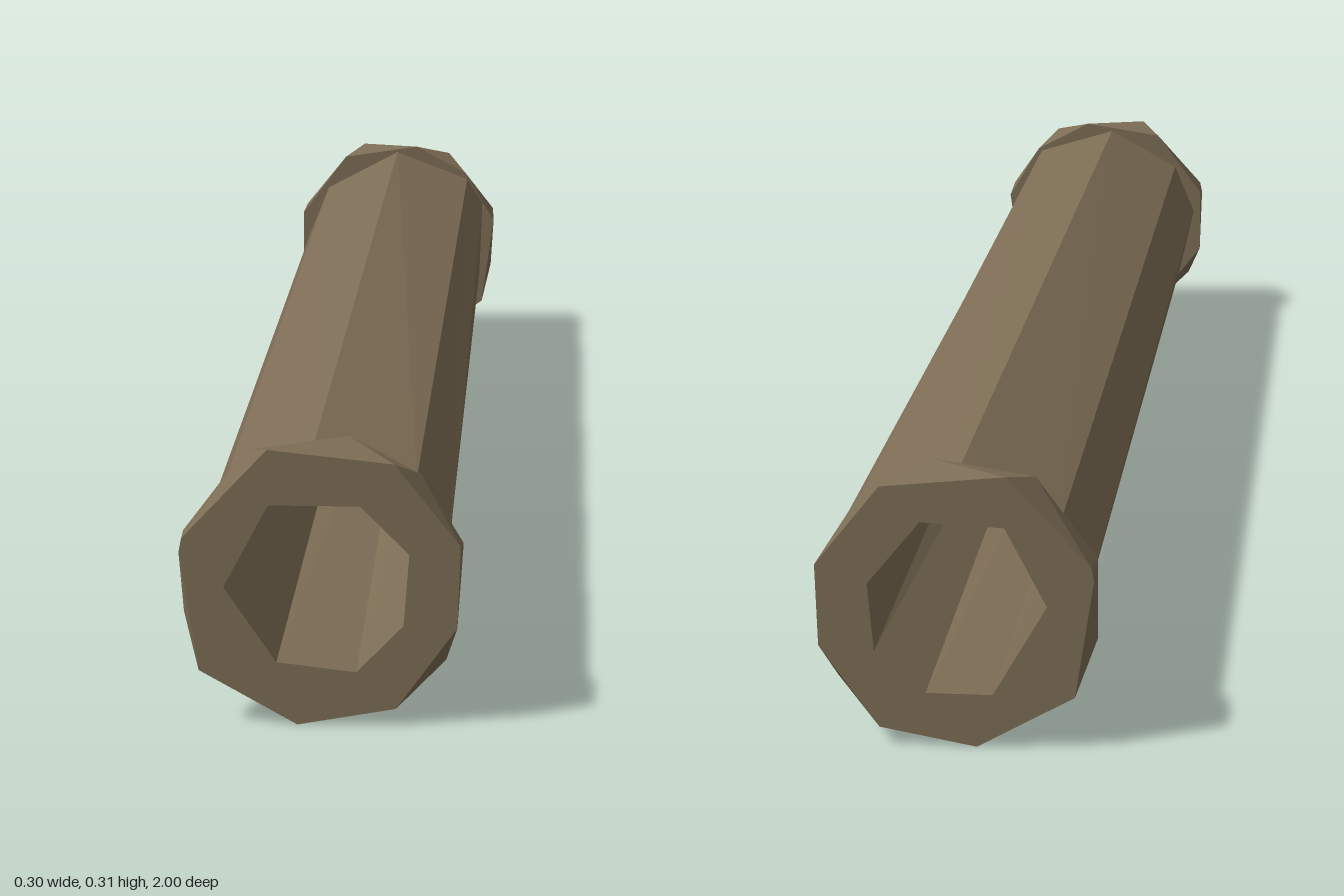
import * as THREE from 'three';

// Cross-sections as [x, y], clockwise seen from the front
const rim = [[-.15, .19], [-.147, .205], [-.056, .302], [.078, .288], [.148, .2], [.145, .11], [.08, .02], [-.025, .001], [-.13, .06]];
const collarInner = [[-.15, .2], [-.083, .289], [.028, .306], [.105, .265], [.15, .19], [.132, .06], [.052, .004], [-.08, .02], [-.15, .11]];
const tubeFront = [[-.14, .17], [-.11, .24], [-.01, .295], [.1, .262], [.135, .187], [.125, .095], [.05, .027], [-.05, .024], [-.12, .08]];
const tubeBack = [[-.14, .165], [-.11, .24], [-.002, .297], [.108, .255], [.132, .218], [.128, .105], [.055, .025], [-.045, .022], [-.12, .085]];
const holeFront = [[-.103, .152], [-.055, .242], [.042, .242], [.094, .19], [.088, .112], [.038, .06], [-.047, .07]];
const holeBack = [[-.1, .16], [-.055, .246], [.035, .25], [.092, .18], [.085, .105], [.03, .06], [-.042, .06]];

// Side surface between two cross-sections; inward turns the faces around
function strip(p, zp, q, zq, inward = false) {
  const n = p.length;
  const pos = [];
  const tri = (a, b, c) => pos.push(...a, ...(inward ? c : b), ...(inward ? b : c));
  for (let i = 0; i < n; i++) {
    const j = (i + 1) % n;
    const p0 = [...p[i], zp], p1 = [...p[j], zp], q0 = [...q[i], zq], q1 = [...q[j], zq];
    tri(p0, p1, q0);
    tri(q0, p1, q1);
  }
  const g = new THREE.BufferGeometry();
  g.setAttribute('position', new THREE.Float32BufferAttribute(pos, 3));
  g.computeVertexNormals();
  return g;
}

// Flat ring between two outlines, facing +z or -z
function ring(outer, inner, z, facing) {
  const toPoints = (a) => a.map(([x, y]) => new THREE.Vector2(x, y));
  const shape = new THREE.Shape(toPoints(outer));
  shape.holes.push(new THREE.Path(toPoints(inner)));
  const g = new THREE.ShapeGeometry(shape).translate(0, 0, z);
  if (facing < 0) {
    g.index.array.reverse();
    g.computeVertexNormals();
  }
  return g;
}

export function createModel() {
  const model = new THREE.Group();
  model.name = 'pipe';
  const metal = new THREE.MeshStandardMaterial({ color: 0x7d6d55, flatShading: true });
  metal.name = 'dull bronze';
  const add = (parent, name, geometry) => {
    const mesh = new THREE.Mesh(geometry, metal);
    mesh.name = name;
    parent.add(mesh);
  };

  // Long faceted body and the bore through it
  add(model, 'tube', strip(tubeFront, .95, tubeBack, -.95));
  add(model, 'bore', strip(holeFront, 1, holeBack, -1, true));

  // A faceted collar on each end
  for (const s of [1, -1]) {
    const collar = new THREE.Group();
    collar.name = s > 0 ? 'frontCollar' : 'backCollar';
    add(collar, 'collarSide', strip(rim, s, collarInner, s * .95, s < 0));
    add(collar, 'endFace', ring(rim, s > 0 ? holeFront : holeBack, s, s));
    add(collar, 'shoulder', ring(collarInner, s > 0 ? tubeFront : tubeBack, s * .95, -s));
    model.add(collar);
  }
  return model;
}
